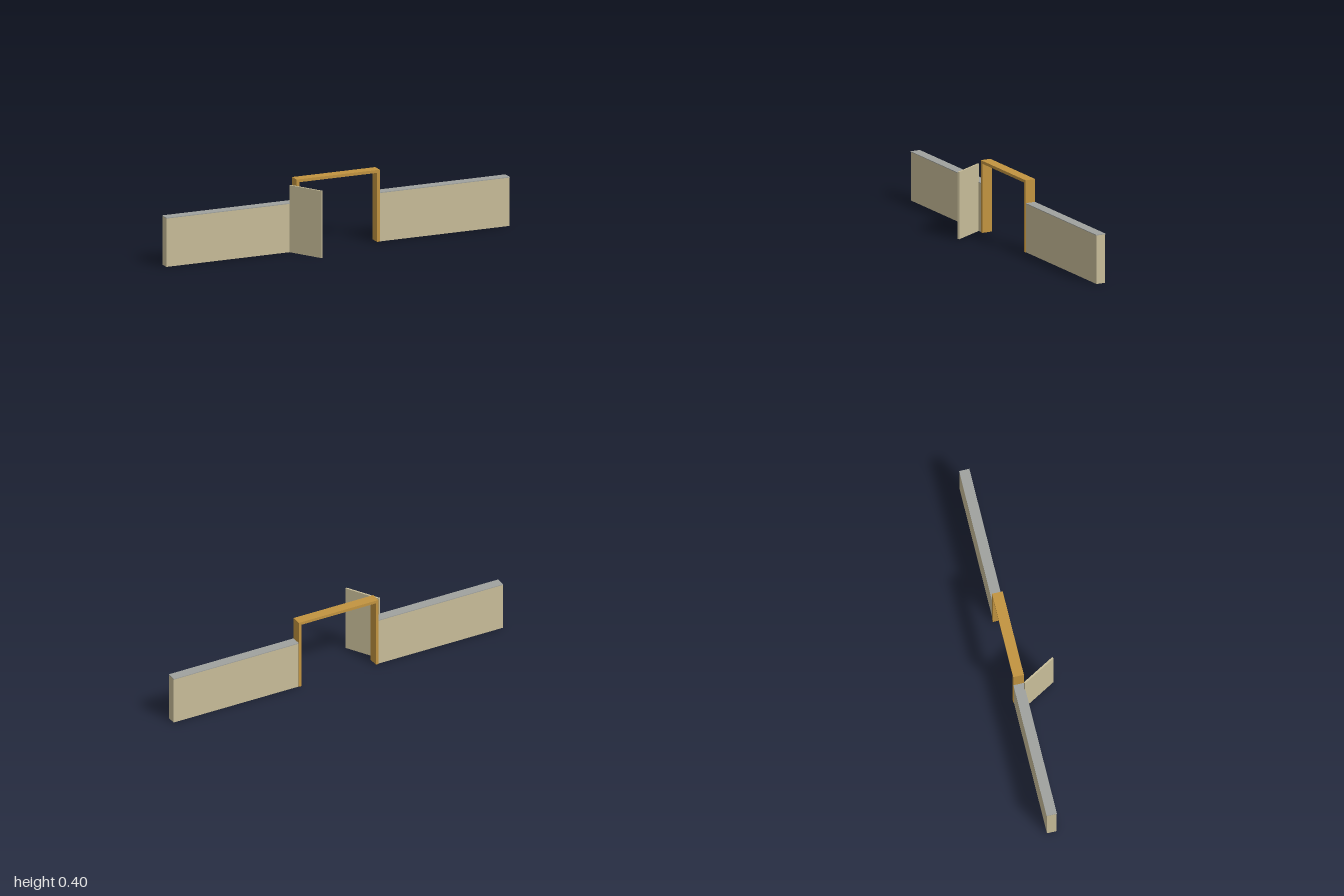
import * as THREE from 'three';

export function createModel() {
  const model = new THREE.Group();
  model.name = 'wallWithDoorway';

  const plaster = new THREE.MeshStandardMaterial({ name: 'beige plaster', color: 0xc8bd99 });
  const grey = new THREE.MeshStandardMaterial({ name: 'grey capping', color: 0xa0a29e });
  const wood = new THREE.MeshStandardMaterial({ name: 'ochre wood', color: 0xc29440 });

  // Box given by its centre in x and z, and its bottom in y
  function box(name, material, [w, h, d], [x, y, z]) {
    const mesh = new THREE.Mesh(new THREE.BoxGeometry(w, h, d), material);
    mesh.name = name;
    mesh.position.set(x, y + h / 2, z);
    model.add(mesh);
    return mesh;
  }

  const wallZ = -0.088;
  const frameHalf = 0.242, frameTop = 0.395, frameDepth = 0.058, board = 0.016;
  const wallHeight = 0.27, cap = 0.004;
  const wallLength = 1 - frameHalf;

  // Wall, its capping and the door post on each side
  for (const [side, s] of [['left', 1], ['right', -1]]) {
    const x = s * (frameHalf + wallLength / 2);
    box(side + 'Wall', plaster, [wallLength, wallHeight - cap, 0.052], [x, 0, wallZ]);
    box(side + 'WallCap', grey, [wallLength, cap, 0.056], [x, wallHeight - cap, wallZ]);
    box(side + 'DoorPost', wood, [board, frameTop - board, frameDepth],
      [s * (frameHalf - board / 2), 0, wallZ]);
  }

  // Lintel across the posts
  box('lintel', wood, [frameHalf * 2, board, frameDepth], [0, frameTop - board, wallZ]);

  // Thin door leaf standing open
  const door = box('doorLeaf', plaster, [0.207, 0.368, 0.01], [-0.226, 0, 0.025]);
  door.rotation.y = -Math.PI / 3;

  return model;
}
